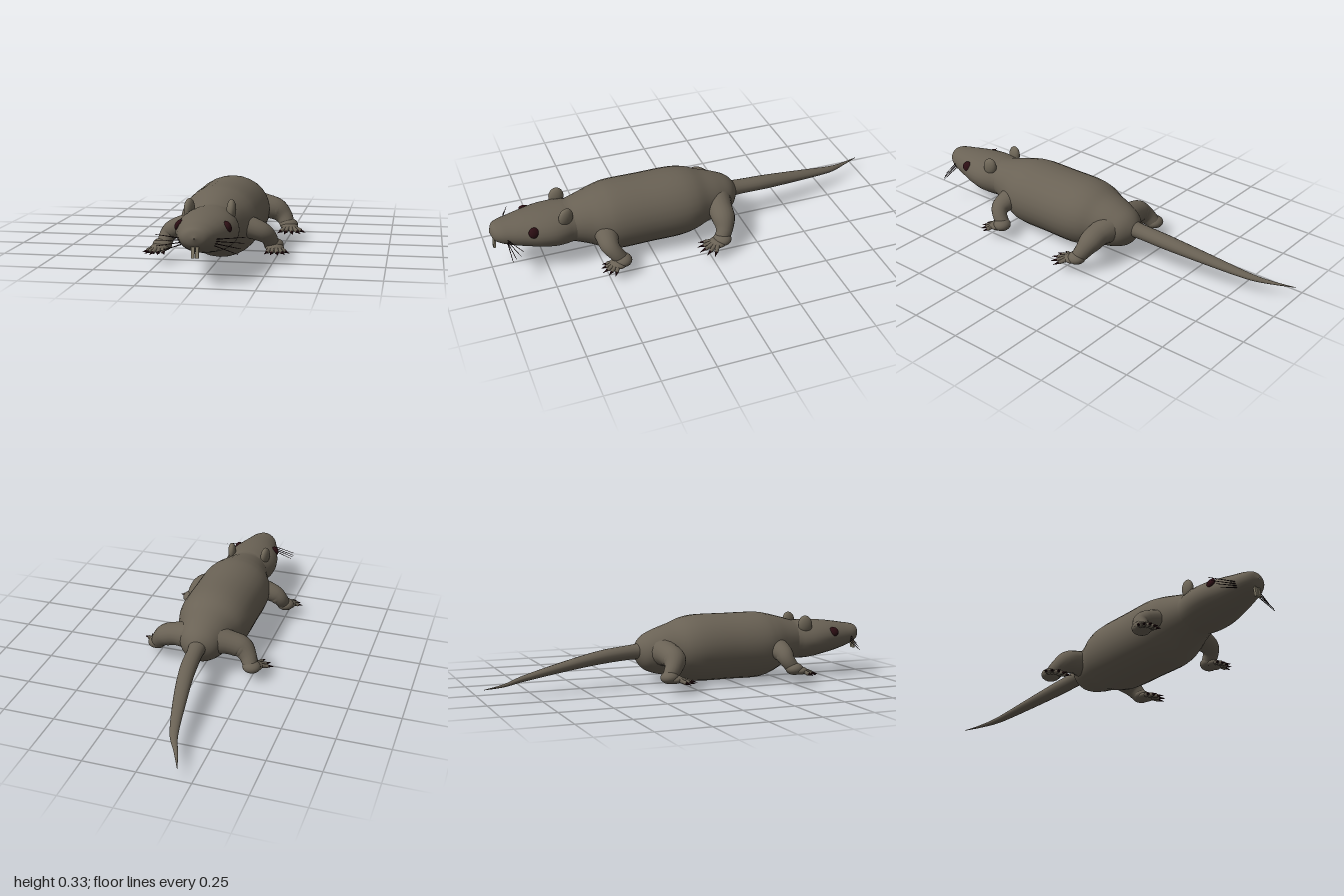
import * as THREE from 'three';

const mat = (name, color) => {
  const m = new THREE.MeshStandardMaterial({ color });
  m.name = name;
  return m;
};

// Smooth skin through elliptical sections [x, y, z, rx, ry].
// Without ref the sections face z; with ref they follow the path.
function loft(sections, sides, steps, ref) {
  const path = new THREE.CatmullRomCurve3(sections.map(s => new THREE.Vector3(s[0], s[1], s[2])), false, 'catmullrom');
  const size = new THREE.CatmullRomCurve3(sections.map(s => new THREE.Vector3(s[3], s[4], 0)), false, 'catmullrom');
  const pos = [], index = [];
  for (let i = 0; i <= steps; i++) {
    const p = path.getPoint(i / steps), r = size.getPoint(i / steps);
    const t = ref ? path.getTangent(i / steps) : new THREE.Vector3(0, 0, 1);
    const side = new THREE.Vector3().crossVectors(ref || new THREE.Vector3(0, 1, 0), t).normalize();
    const up = new THREE.Vector3().crossVectors(t, side);
    for (let j = 0; j < sides; j++) {
      const a = (j / sides) * Math.PI * 2;
      const v = p.clone()
        .addScaledVector(side, Math.max(r.x, 0.0005) * Math.cos(a))
        .addScaledVector(up, Math.max(r.y, 0.0005) * Math.sin(a));
      pos.push(v.x, v.y, v.z);
      if (i < steps) {
        const k = (j + 1) % sides, b = i * sides, c = b + sides;
        index.push(b + j, b + k, c + j, b + k, c + k, c + j);
      }
    }
  }
  const g = new THREE.BufferGeometry();
  g.setAttribute('position', new THREE.Float32BufferAttribute(pos, 3));
  g.setIndex(index);
  g.computeVertexNormals();
  return g;
}

export function createModel() {
  const model = new THREE.Group();
  const fur = mat('fur', 0x6a6255);
  const earSkin = mat('ear skin', 0x706859);
  const tooth = mat('tooth', 0x8c8470);
  const eyeRed = mat('eye dark red', 0x2c0e13);
  const claw = mat('claw', 0x260c10);
  const hair = mat('whisker', 0x1c0c0e);

  const add = (parent, name, geometry, material, x = 0, y = 0, z = 0) => {
    const m = new THREE.Mesh(geometry, material);
    m.name = name;
    m.position.set(x, y, z);
    parent.add(m);
    return m;
  };
  const ball = (rx, ry, rz) => new THREE.SphereGeometry(1, 20, 14).scale(rx, ry, rz);

  // Tapered rod between two points
  const rod = (parent, name, a, b, r0, r1, material, sides = 8) => {
    const from = new THREE.Vector3(...a), dir = new THREE.Vector3(...b).sub(from);
    const m = add(parent, name, new THREE.CylinderGeometry(r1, r0, dir.length(), sides), material);
    m.position.copy(from).addScaledVector(dir, 0.5);
    m.quaternion.setFromUnitVectors(new THREE.Vector3(0, 1, 0), dir.normalize());
    return m;
  };

  // Torso, rump to neck
  add(model, 'body', loft([
    [0, 0.16, -0.235, 0.002, 0.002], [0, 0.16, -0.215, 0.048, 0.048],
    [0, 0.158, -0.18, 0.09, 0.085], [0, 0.16, -0.12, 0.118, 0.11],
    [0, 0.165, -0.05, 0.14, 0.128], [0, 0.167, 0.02, 0.169, 0.152],
    [0, 0.166, 0.1, 0.181, 0.164], [0, 0.166, 0.25, 0.181, 0.164],
    [0, 0.166, 0.4, 0.181, 0.164], [0, 0.17, 0.47, 0.168, 0.15],
    [0, 0.178, 0.54, 0.14, 0.124], [0, 0.182, 0.61, 0.116, 0.1],
    [0, 0.184, 0.66, 0.1, 0.085], [0, 0.184, 0.665, 0.001, 0.001],
  ], 28, 78), fur);

  // Head, neck to nose
  add(model, 'head', loft([
    [0, 0.182, 0.57, 0.002, 0.002], [0, 0.182, 0.58, 0.1, 0.085],
    [0, 0.182, 0.63, 0.122, 0.097], [0, 0.183, 0.7, 0.135, 0.096],
    [0, 0.187, 0.77, 0.128, 0.088], [0, 0.19, 0.84, 0.107, 0.077],
    [0, 0.193, 0.9, 0.088, 0.064], [0, 0.198, 0.95, 0.07, 0.051],
    [0, 0.202, 0.98, 0.045, 0.036], [0, 0.203, 0.995, 0.002, 0.002],
  ], 28, 60), fur);

  // Tail, tip to root
  add(model, 'tail', loft([
    [-0.187, 0.06, -1, 0.001, 0.001], [-0.145, 0.066, -0.9, 0.01, 0.007],
    [-0.1, 0.084, -0.8, 0.02, 0.014], [-0.055, 0.119, -0.6, 0.032, 0.024],
    [-0.02, 0.149, -0.4, 0.039, 0.033], [-0.005, 0.164, -0.22, 0.042, 0.038],
    [0, 0.165, -0.16, 0.07, 0.06],
  ], 16, 48), fur);

  // Foot: heel, palm and five clawed toes, built facing +z
  function foot(name, reach) {
    const g = new THREE.Group();
    g.name = name;
    add(g, 'heel', ball(0.045, 0.03, 0.043), fur, 0, 0.072, 0);
    add(g, 'palm', ball(0.042, 0.02, 0.04), fur, 0, 0.063, 0.025);
    for (let i = -2; i <= 2; i++) {
      const a = i * 0.38, len = reach * (1 - 0.05 * Math.abs(i));
      const at = (d, y) => [Math.sin(a) * d, y, 0.02 + Math.cos(a) * d];
      rod(g, 'toe', at(0.02, 0.066), at(len * 0.65, 0.054), 0.014, 0.009, fur);
      add(g, 'toe tip', ball(0.01, 0.01, 0.01), fur, ...at(len * 0.65, 0.054));
      rod(g, 'claw', at(len * 0.6, 0.055), at(len, 0.046), 0.0095, 0.0006, claw, 6);
    }
    return g;
  }

  const Z = new THREE.Vector3(0, 0, 1);
  for (const s of [1, -1]) {
    const sideName = s > 0 ? 'left' : 'right';

    // Legs, with opposite feet staggered along z
    const fz = 0.47 - s * 0.04, rz = -0.105 + s * 0.04;
    add(model, sideName + 'FrontLeg', loft([
      [s * 0.07, 0.17, 0.47, 0.055, 0.065], [s * 0.14, 0.158, 0.475, 0.05, 0.056],
      [s * 0.2, 0.138, 0.478, 0.044, 0.046], [s * 0.228, 0.112, 0.472 - s * 0.01, 0.037, 0.037],
      [s * 0.24, 0.07, fz, 0.033, 0.033],
    ], 18, 28, Z), fur);
    add(model, sideName + 'Elbow', ball(0.036, 0.036, 0.04), fur, s * 0.208, 0.126, 0.475);
    const frontFoot = foot(sideName + 'FrontFoot', 0.092);
    frontFoot.position.set(s * 0.247, 0, fz);
    frontFoot.rotation.y = s * 0.3;
    model.add(frontFoot);

    add(model, sideName + 'HindLeg', loft([
      [s * 0.06, 0.165, -0.11, 0.07, 0.07], [s * 0.13, 0.158, -0.1, 0.058, 0.06],
      [s * 0.19, 0.14, -0.095, 0.055, 0.056], [s * 0.228, 0.108, -0.1 + s * 0.015, 0.043, 0.042],
      [s * 0.25, 0.07, rz, 0.035, 0.035],
    ], 18, 28, Z), fur);
    add(model, sideName + 'Knee', ball(0.045, 0.052, 0.055), fur, s * 0.193, 0.14, -0.095);
    const hindFoot = foot(sideName + 'HindFoot', 0.112);
    hindFoot.position.set(s * 0.255, 0, rz);
    hindFoot.rotation.y = s * 0.26;
    model.add(hindFoot);

    // Ear
    const ear = add(model, sideName + 'Ear', ball(0.021, 0.046, 0.036), earSkin, s * 0.092, 0.264, 0.65);
    ear.rotation.set(-0.15, s * 0.2, 0);

    // Eye
    const eye = add(model, sideName + 'Eye', ball(0.016, 0.025, 0.027), eyeRed, s * 0.103, 0.221, 0.805);
    eye.rotation.set(0, s * 0.25, s * 0.45);

    // Whiskers
    const tips = [[0.19, 0.192, 0.875], [0.188, 0.17, 0.89], [0.178, 0.15, 0.91], [0.167, 0.13, 0.925]];
    tips.forEach((t, i) => rod(model, sideName + 'Whisker',
      [s * (0.076 - i * 0.002), 0.19 - i * 0.009, 0.925], [s * t[0], t[1], t[2]], 0.0022, 0.0012, hair, 5));

    // Front tooth
    const front = add(model, sideName + 'Tooth', new THREE.BoxGeometry(0.014, 0.055, 0.01), tooth, s * 0.009, 0.147, 0.977);
    front.rotation.x = -0.12;
  }
  return model;
}
